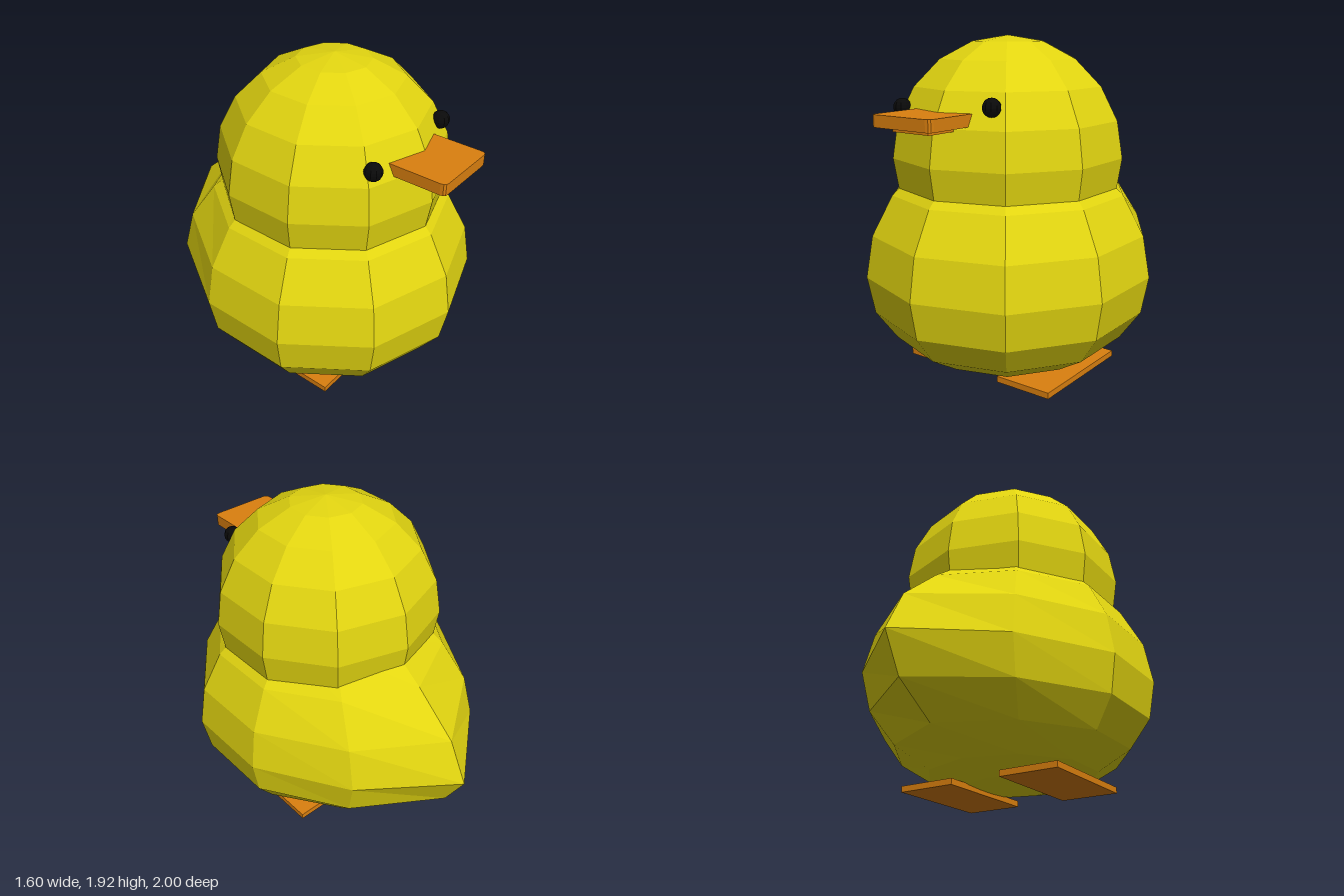
import * as THREE from 'three';

const mat = (color) => new THREE.MeshStandardMaterial({ color, flatShading: true });

export function createModel() {
  const group = new THREE.Group();
  const yellow = mat(0xe2d510), orange = mat(0xdb800f), black = mat(0x0a0a0a);
  const add = (name, geometry, material, x, y, z) => {
    const mesh = new THREE.Mesh(geometry, material);
    mesh.name = name;
    mesh.position.set(x, y, z);
    group.add(mesh);
    return mesh;
  };
  // ten-sided ball with one edge line at the front and one at the back
  const ball = (r) => new THREE.SphereGeometry(r, 10, 10, Math.PI / 2);

  // body: flattened rings, with the back vertices pulled out into a tail
  const body = ball(0.84);
  const ringY = [1.31, 1.29, 1.23, 1.045, 0.82, 0.58, 0.365, 0.2, 0.085, 0.03, 0.01];
  const tail = [0, 0, 0.02, 0.09, 0.23, 0.31, 0.23, 0.09, 0, 0, 0];
  const p = body.attributes.position;
  for (let i = 0; i < p.count; i++) {
    const ring = Math.floor(i / 11);
    const x = Math.abs(p.getX(i)), z = p.getZ(i);
    p.setY(i, ringY[ring]);
    if (z < 0 && x < 0.01) p.setZ(i, z - tail[ring]);
    else if (z < 0 && x < -z) p.setZ(i, z - tail[ring] * 0.29);
  }
  body.computeVertexNormals();
  add('body', body, yellow, 0, 0, 0.15);

  add('head', ball(0.667), yellow, 0, 1.255, 0.15);

  // eyes, slightly uneven in height
  add('rightEye', ball(0.05), black, -0.335, 1.54, 0.66);
  add('leftEye', ball(0.05), black, 0.285, 1.575, 0.66);

  // beak: flat plates with clipped front corners, sunk into the head
  const plate = (x0, x1, z0, z1, h, c) => {
    const s = new THREE.Shape();
    s.moveTo(x0, -z0);
    s.lineTo(x0, -z1 + c);
    s.quadraticCurveTo(x0, -z1, x0 + c, -z1);
    s.lineTo(x1 - c, -z1);
    s.quadraticCurveTo(x1, -z1, x1, -z1 + c);
    s.lineTo(x1, -z0);
    return new THREE.ExtrudeGeometry(s, { depth: h, bevelEnabled: false, curveSegments: 3 })
      .rotateX(-Math.PI / 2);
  };
  add('upperBeak', plate(-0.22, 0.18, 0.5, 1, 0.065, 0.03), orange, 0, 1.475, 0);
  add('lowerBeak', plate(-0.15, 0.11, 0.5, 0.93, 0.03, 0.02), orange, 0, 1.45, 0);

  // feet
  for (const [name, x] of [['rightFoot', -0.31], ['leftFoot', 0.35]])
    add(name, new THREE.BoxGeometry(0.35, 0.035, 0.69), orange, x, 0.0175, 0.15);

  return group;
}
